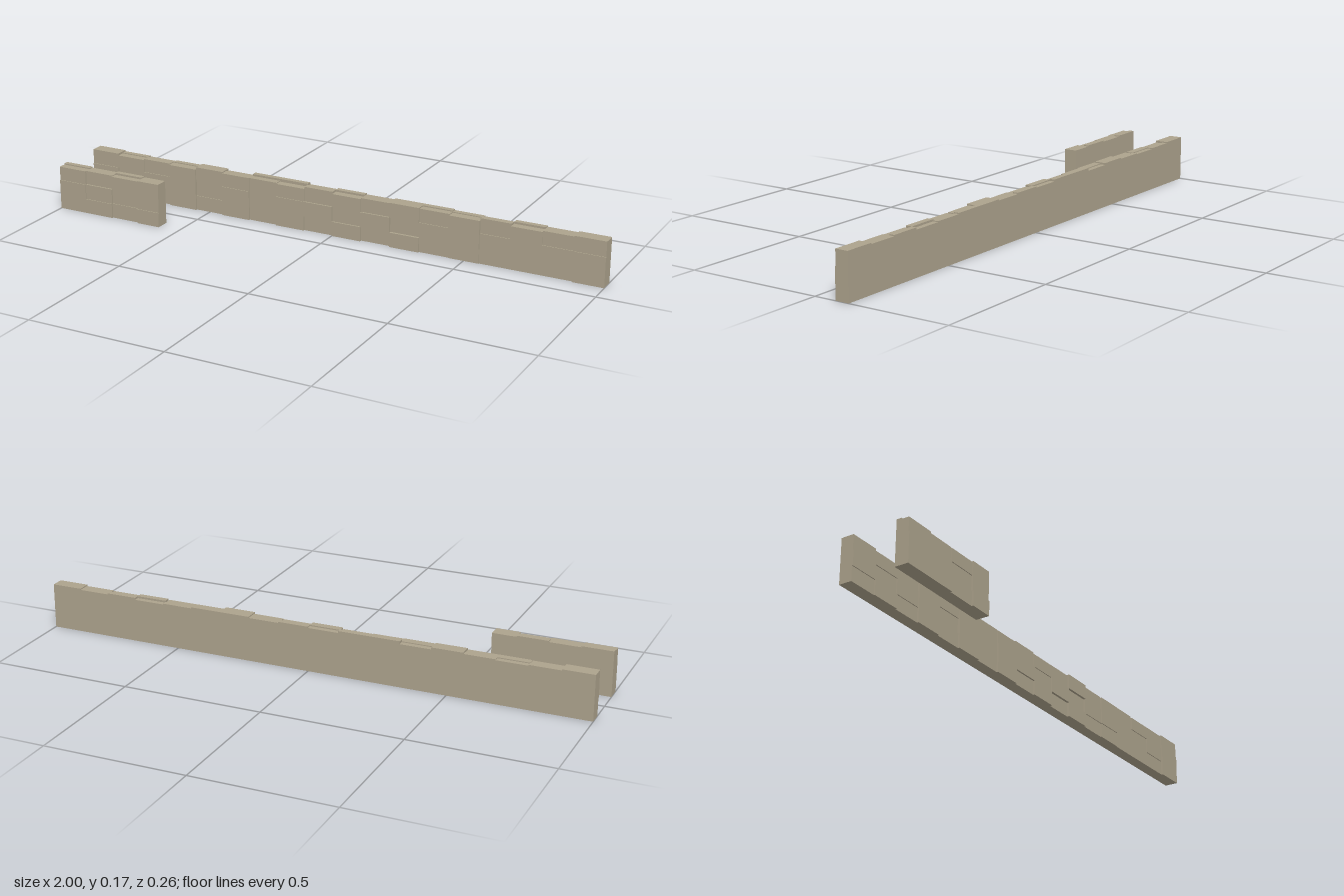
import * as THREE from 'three';

const stone = new THREE.MeshStandardMaterial({ color: 0xaca28c, flatShading: true });
const COL = 1 / 9;            // stone length
const ROWS = [0, 0.053, 0.108]; // bed heights of the three courses
const RELIEF = [0.001, 0.004, 0.007, 0.01];
const TOPS = [0.155, 0.158, 0.162, 0.165];

function box(parent, name, x0, x1, y0, y1, z0, z1) {
  const mesh = new THREE.Mesh(new THREE.BoxGeometry(x1 - x0, y1 - y0, z1 - z0), stone);
  mesh.position.set((x0 + x1) / 2, (y0 + y1) / 2, (z0 + z1) / 2);
  mesh.name = name;
  parent.add(mesh);
}

// Each string holds one digit per stone column: face relief or top height.
function wall(name, xEnd, zBack, faces, frontTops, backTops) {
  const group = new THREE.Group();
  group.name = name;
  const zMid = zBack + 0.019, zFace = zBack + 0.04;

  // Plain body with flat back and ends
  box(group, 'wallBody', -1, xEnd, 0, TOPS[0], zBack, zFace);

  for (let i = 0; i < frontTops.length; i++) {
    const x0 = -1 + i * COL, x1 = Math.min(x0 + COL, xEnd);
    const front = TOPS[frontTops[i]], back = TOPS[backTops[i]];

    // Uneven facing stones
    faces.forEach((row, r) => {
      const top = r < 2 ? ROWS[r + 1] : front;
      box(group, 'facingStone', x0, x1, ROWS[r], top, zFace, zFace + RELIEF[row[i]]);
    });

    // Raised coping stones, in two strips
    if (front > TOPS[0]) box(group, 'frontCoping', x0, x1, TOPS[0], front, zMid, zFace);
    if (back > TOPS[0]) box(group, 'backCoping', x0, x1, TOPS[0], back, zBack, zMid);
  }
  return group;
}

export function createModel() {
  const model = new THREE.Group();
  model.name = 'stoneWalls';
  model.add(
    wall('longWall', 1, -0.131, [
      '231313131303121113',
      '312303133130231123',
      '221312121213130212',
    ], '201021102012102012', '210120331212210212'),
    wall('shortWall', -0.58, 0.081, ['3313', '3202', '2012'], '1101', '2121'),
  );
  return model;
}
